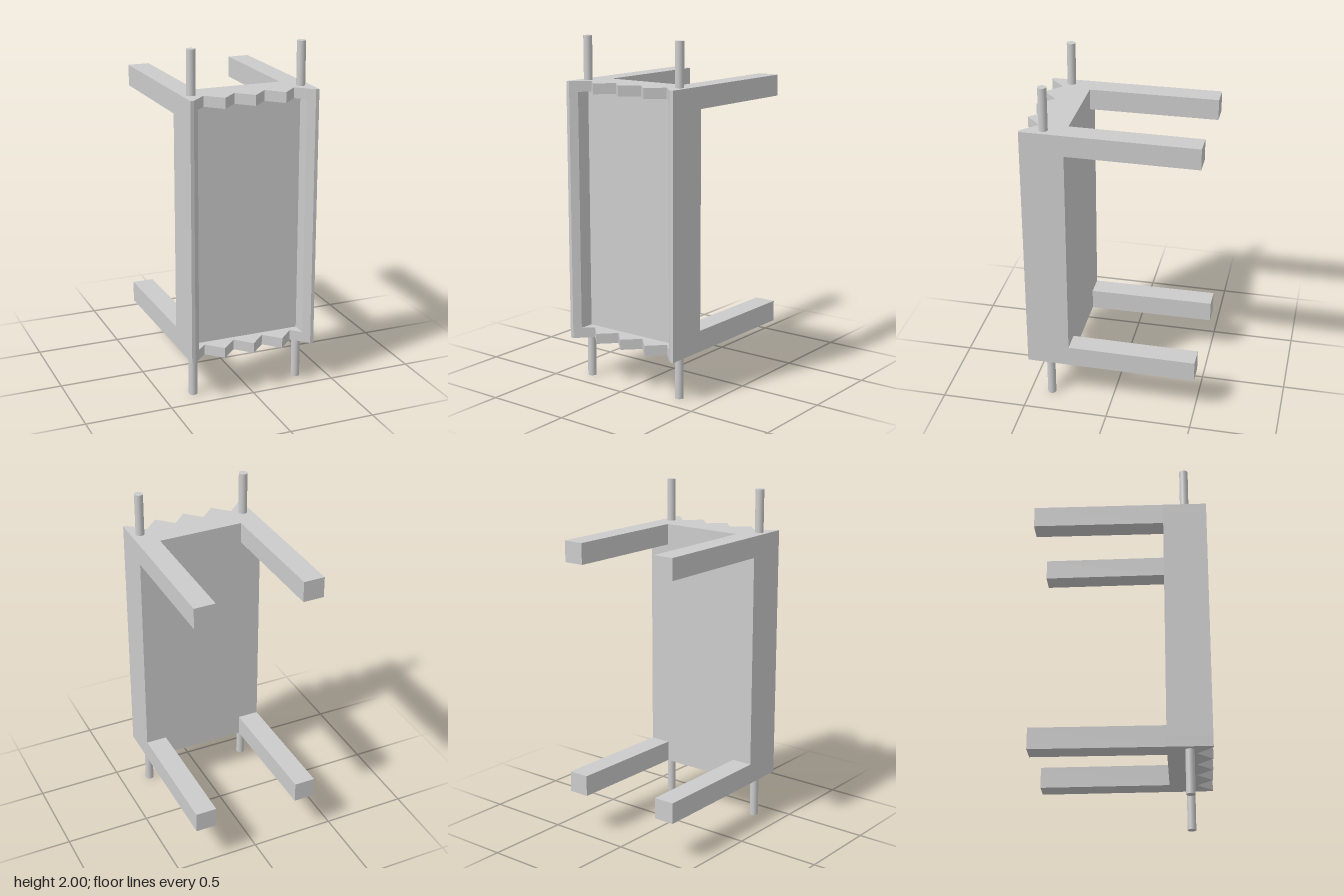
import * as THREE from 'three';

const material = new THREE.MeshStandardMaterial({ color: 0xcccccc, flatShading: true });
const smooth = new THREE.MeshStandardMaterial({ color: 0xcccccc });

// Extrude an [x, z] plan outline upwards from y0 to y1
function slab(name, outline, y0, y1) {
  const shape = new THREE.Shape(outline.map(([x, z]) => new THREE.Vector2(x, -z)));
  const geometry = new THREE.ExtrudeGeometry(shape, { depth: y1 - y0, bevelEnabled: false });
  geometry.rotateX(-Math.PI / 2).translate(0, y0, 0);
  const mesh = new THREE.Mesh(geometry, material);
  mesh.name = name;
  return mesh;
}

export function createModel() {
  const group = new THREE.Group();
  group.name = 'toothedFrame';

  // Toothed front edge of the rails, from left to right
  const teeth = [[-0.375, 0.5], [-0.355, 0.5]];
  for (let i = -3; i <= 3; i++) teeth.push([i * 0.0885, i % 2 ? 0.411 : 0.5]);
  teeth.push([0.355, 0.5], [0.375, 0.5]);
  const rail = [...teeth, [0.377, 0.25], [-0.377, 0.25]];
  group.add(slab('bottomRail', rail, 0.25, 0.31), slab('topRail', rail, 1.69, 1.75));

  // Recessed panel with a post at each side
  const core = [
    [-0.375, 0.5], [-0.355, 0.5], [-0.32, 0.465], [-0.32, 0.378],
    [0.32, 0.378], [0.32, 0.465], [0.355, 0.5], [0.375, 0.5],
    [0.377, 0.25], [-0.377, 0.25],
  ];
  group.add(slab('panelAndPosts', core, 0.31, 1.69));

  for (const [side, s] of [['left', 1], ['right', -1]]) {
    for (const [level, armY, pinY] of [['Bottom', 0.25, 0.125], ['Top', 1.627, 1.875]]) {
      // Arms reaching back, splayed slightly outwards
      const arm = [[s * 0.252, 0.25], [s * 0.377, 0.25], [s * 0.383, -0.5], [s * 0.258, -0.5]];
      group.add(slab(`${side}${level}Arm`, arm, armY, armY + 0.123));

      // Round pins
      const pin = new THREE.Mesh(new THREE.CylinderGeometry(0.025, 0.025, 0.25, 32), smooth);
      pin.position.set(s * 0.323, pinY, 0.373);
      pin.name = `${side}${level}Pin`;
      group.add(pin);
    }
  }
  return group;
}
